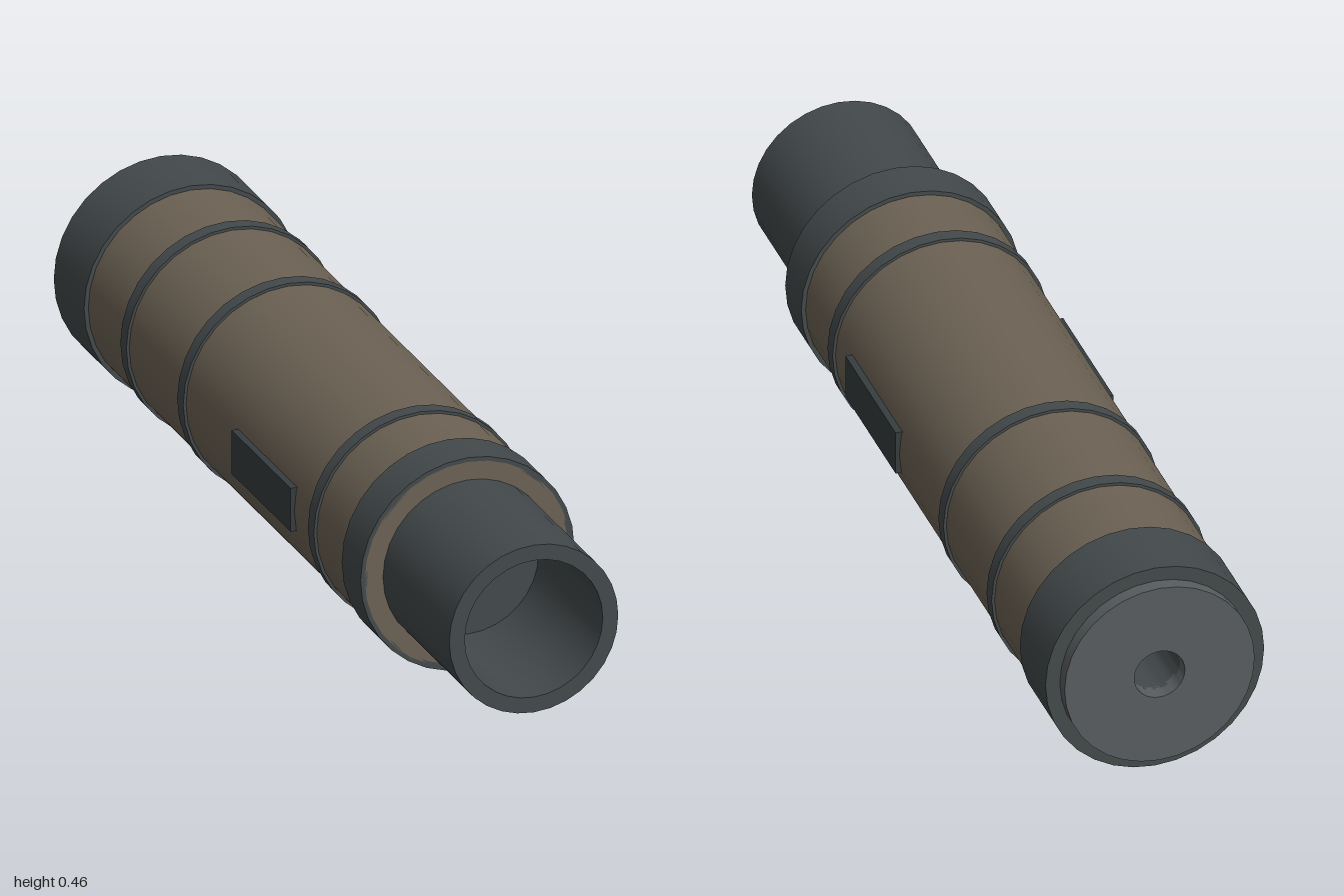
import * as THREE from 'three';
import { toCreasedNormals } from 'three/addons/utils/BufferGeometryUtils.js';

const AXIS_Y = 0.23; // height of the tube's axis
const HOLE = 0.053;  // radius of the hole running end to end

const dark = new THREE.MeshStandardMaterial({ color: 0x43494b });
const panelDark = new THREE.MeshStandardMaterial({ color: 0x363d3e });
const brown = new THREE.MeshStandardMaterial({ color: 0x6c6254 });
const grey = new THREE.MeshStandardMaterial({ color: 0x595d5f });

export function createModel() {
  const group = new THREE.Group();

  // Turned part along z; the profile is a closed loop of [radius, z]
  function turned(name, profile, material) {
    const pts = [...profile, profile[0]].map(([r, z]) => new THREE.Vector2(r, z));
    const geo = new THREE.LatheGeometry(pts, 32).rotateX(Math.PI / 2);
    const mesh = new THREE.Mesh(toCreasedNormals(geo, Math.PI / 5), material);
    mesh.name = name;
    mesh.position.y = AXIS_Y;
    group.add(mesh);
  }
  const ring = (name, inner, outer, z0, z1, material) =>
    turned(name, [[inner, z0], [outer, z0], [outer, z1], [inner, z1]], material);

  // Main tube
  ring('body', HOLE, 0.22, -0.82, 0.65, brown);

  // Front barrel with a wide bore and a floor pierced by the hole
  turned('barrel', [[HOLE, 0.6], [0.181, 0.6], [0.181, 1], [0.148, 1], [0.148, 0.66], [HOLE, 0.66]], dark);

  // Collar, bands and rear cap
  ring('frontCollar', 0.215, 0.229, 0.55, 0.65, dark);
  for (const z of [0.38, -0.31, -0.61]) ring('band', 0.21, 0.226, z - 0.016, z + 0.016, dark);
  ring('rearCap', HOLE, 0.229, -0.97, -0.81, dark);
  ring('endPlate', HOLE, 0.199, -1, -0.96, grey);

  // Flat side panels
  for (const side of [1, -1]) {
    const panel = new THREE.Mesh(new THREE.BoxGeometry(0.028, 0.094, 0.312), panelDark);
    panel.name = side > 0 ? 'leftPanel' : 'rightPanel';
    panel.position.set(side * 0.214, AXIS_Y + 0.003, 0.122);
    group.add(panel);
  }
  return group;
}
